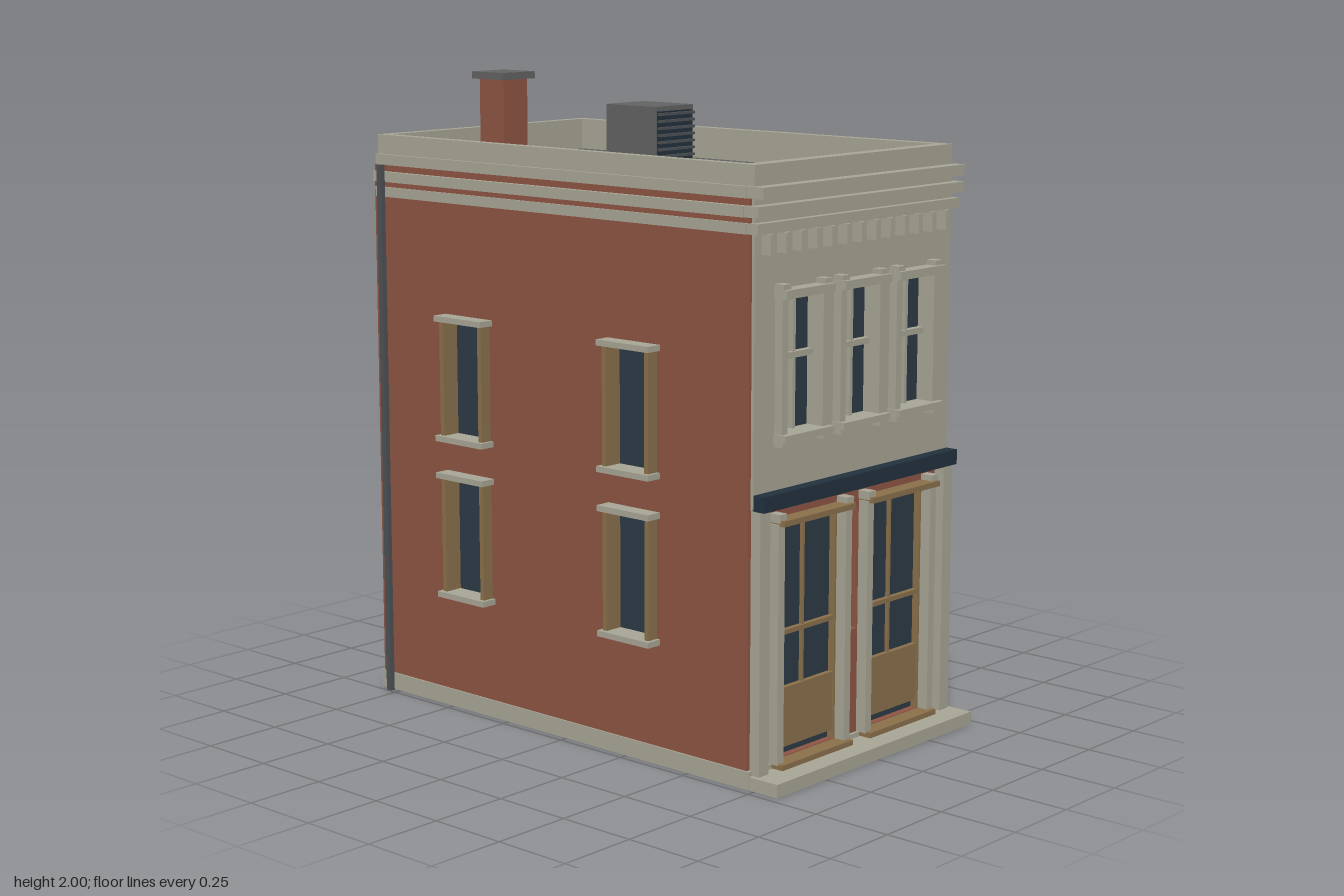
import * as THREE from 'three';

const mat = (name, color) => Object.assign(new THREE.MeshStandardMaterial({ color }), { name });

export function createModel() {
  const brick = mat('brick', 0x8e5544), stone = mat('stone', 0xa8a695), glass = mat('glass', 0x2c3a46);
  const wood = mat('wood', 0x8a704b), navy = mat('navy', 0x22313f), roofGrey = mat('roof grey', 0x636363);
  const metal = mat('dark metal', 0x4e5154);
  const model = new THREE.Group();
  model.name = 'townBuilding';

  const add = (parent, name, geometry, material) => {
    const mesh = new THREE.Mesh(geometry, material);
    mesh.name = name;
    parent.add(mesh);
    return mesh;
  };
  // Box given by its limits on each axis
  const box = (parent, name, material, x0, x1, y0, y1, z0, z1) => {
    const mesh = add(parent, name, new THREE.BoxGeometry(x1 - x0, y1 - y0, z1 - z0), material);
    mesh.position.set((x0 + x1) / 2, (y0 + y1) / 2, (z0 + z1) / 2);
  };
  const group = (name) => {
    const g = new THREE.Group();
    g.name = name;
    model.add(g);
    return g;
  };
  const outline = (Type, [x0, x1, y0, y1]) => new Type([[x0, y0], [x1, y0], [x1, y1], [x0, y1]]
    .map(([x, y]) => new THREE.Vector2(x, y)));
  // Flat slab with rectangular openings, extruded towards +z
  const slab = (rect, holes, depth) => {
    const shape = outline(THREE.Shape, rect);
    shape.holes = holes.map((h) => outline(THREE.Path, h));
    return new THREE.ExtrudeGeometry(shape, { depth, bevelEnabled: false });
  };

  // Stone base and front step
  box(model, 'base', stone, -0.475, 0.475, 0, 0.055, -0.835, 0.73);
  box(model, 'frontStep', stone, -0.472, 0.472, 0, 0.04, 0.7, 0.835);

  // Openings, as x0, x1, y0, y1 on each wall
  const upperCentres = [-0.265, 0, 0.265];
  const upperOpenings = upperCentres.map((x) => [x - 0.08, x + 0.08, 1.03, 1.425]);
  const doorOpenings = [-0.207, 0.207].map((x) => [x - 0.142, x + 0.142, 0.06, 0.77]);
  const middleOpening = [-0.035, 0.035, 0.378, 0.75];
  const rows = [[0.375, 0.755], [0.875, 1.25]];
  const backOpenings = rows.map(([a, b]) => [-0.125, 0.125, a, b]);
  const sideCentres = [0.28, -0.412];
  const sideOpenings = sideCentres.flatMap((z) => rows.map(([a, b]) => [z - 0.082, z + 0.082, a, b]));

  // Brick shell around a solid core, with glass lying in each opening
  box(model, 'brickCore', brick, -0.44, 0.44, 0.03, 1.68, -0.8, 0.69);
  const lowerOpenings = [...doorOpenings, middleOpening];
  add(model, 'frontBrickWall', slab([-0.44, 0.44, 0.03, 0.84], lowerOpenings, 0.03), brick).position.z = 0.69;
  const backWall = add(model, 'backBrickWall', slab([-0.44, 0.44, 0.03, 1.71], backOpenings, 0.03), brick);
  backWall.rotation.y = Math.PI;
  backWall.position.z = -0.8;
  for (const [a, b, c, d] of [...upperOpenings, ...lowerOpenings])
    box(model, 'frontGlass', glass, a, b, c, d, 0.69, 0.698);
  for (const [a, b, c, d] of backOpenings) box(model, 'backGlass', glass, a, b, c, d, -0.808, -0.8);

  // Side walls with framed windows
  for (const s of [-1, 1]) {
    const side = group(s < 0 ? 'rightSideWall' : 'leftSideWall');
    side.rotation.y = s * Math.PI / 2;
    const flip = ([a, b, c, d]) => (s > 0 ? [-b, -a, c, d] : [a, b, c, d]);
    const wallRect = flip([-0.83, 0.72, 0.03, 1.71]);
    add(side, 'sideBrickWall', slab(wallRect, sideOpenings.map(flip), 0.03), brick).position.z = 0.44;
    for (const [a, b, c, d] of sideOpenings.map(flip)) {
      box(side, 'sideGlass', glass, a, b, c, d, 0.44, 0.448);
      for (const [u, v] of [[a - 0.01, a + 0.006], [b - 0.006, b + 0.01]])
        box(side, 'sideWindowJamb', wood, u, v, c, d, 0.446, 0.508);
      for (const y of [c - 0.009, d - 0.007])
        box(side, 'sideWindowLedge', stone, a - 0.021, b + 0.021, y, y + 0.018, 0.446, 0.522);
    }
    // Downpipe
    const px = s * 0.5;
    box(model, 'downpipe', metal, px - 0.008, px + 0.008, 0.005, 1.71, -0.78, -0.76);
  }

  // Stone upper facade
  add(model, 'upperFacade', slab([-0.46, 0.46, 0.82, 1.71], upperOpenings, 0.04), stone).position.z = 0.69;
  for (const x of upperCentres) {
    const win = group('upperWindow');
    win.position.x = x;
    box(win, 'lintel', stone, -0.11, 0.11, 1.42, 1.445, 0.72, 0.777);
    box(win, 'sill', stone, -0.11, 0.11, 1.01, 1.03, 0.72, 0.777);
    box(win, 'mullion', stone, -0.006, 0.006, 1.03, 1.42, 0.697, 0.715);
    box(win, 'transom', stone, -0.08, 0.08, 1.236, 1.254, 0.697, 0.72);
    for (const s of [-1, 1]) {
      const c = s * 0.092;
      box(win, 'jamb', stone, c - 0.013, c + 0.013, 1.03, 1.42, 0.72, 0.758);
      box(win, 'upperBracket', stone, c - 0.016, c + 0.016, 1.415, 1.46, 0.72, 0.765);
      box(win, 'lowerBracket', stone, c - 0.016, c + 0.016, 0.993, 1.025, 0.72, 0.765);
    }
  }

  // Cornice bands: y0, y1, half width, front z
  const cornice = group('cornice');
  for (const [y0, y1, w, z] of [[1.707, 1.74, 0.475, 0.77], [1.655, 1.687, 0.487, 0.762], [1.607, 1.638, 0.477, 0.752]]) {
    box(cornice, 'sideBand', stone, -w, w, y0, y1, -0.82, -0.795);
    box(cornice, 'frontBand', stone, -w + 0.004, w - 0.004, y0, y1, 0.7, z);
    for (const s of [-1, 1])
      box(cornice, 'sideBand', stone, s * w - (s > 0 ? 0.04 : 0), s * w + (s < 0 ? 0.04 : 0), y0, y1, -0.82, 0.71);
  }
  for (let i = 0; i < 13; i++) {
    const x = -0.422 + i * 0.0683;
    box(cornice, 'dentil', stone, x - 0.01, x + 0.01, 1.548, 1.607, 0.72, 0.765);
  }

  // Parapet ring around the sunken flat roof
  const parapet = add(model, 'parapet', slab([-0.462, 0.462, -0.73, 0.822], [[-0.43, 0.43, -0.685, 0.79]], 0.12), stone);
  parapet.rotation.x = -Math.PI / 2;
  parapet.position.y = 1.68;
  box(model, 'roof', roofGrey, -0.435, 0.435, 1.67, 1.7, -0.795, 0.688);

  // Chimney
  box(model, 'chimney', brick, -0.284, -0.18, 1.69, 1.98, -0.542, -0.438);
  box(model, 'chimneyCap', roofGrey, -0.301, -0.163, 1.978, 2, -0.559, -0.421);

  // Roof vent unit with louvres
  const vent = group('roofVent');
  box(vent, 'ventBody', roofGrey, 0.075, 0.252, 1.69, 1.89, -0.34, -0.13);
  box(vent, 'ventPanel', navy, 0.083, 0.244, 1.72, 1.875, -0.13, -0.127);
  for (let i = 0; i < 7; i++)
    box(vent, 'louvre', metal, 0.083, 0.244, 1.73 + i * 0.022, 1.738 + i * 0.022, -0.128, -0.114);

  // Shopfront: fascia, pilasters and two doors
  const shop = group('shopfront');
  box(shop, 'fascia', navy, -0.46, 0.46, 0.82, 0.866, 0.72, 0.77);
  for (const s of [-1, 1]) {
    const p = s * 0.436;
    box(shop, 'pilaster', stone, p - 0.022, p + 0.022, 0.04, 0.82, 0.715, 0.755);
    const door = group('door');
    door.position.x = s * 0.207;
    box(door, 'doorLintel', wood, -0.165, 0.165, 0.765, 0.782, 0.7, 0.772);
    box(door, 'doorSill', wood, -0.165, 0.165, 0.042, 0.058, 0.7, 0.772);
    box(door, 'doorPanel', wood, -0.136, 0.136, 0.085, 0.265, 0.697, 0.715);
    box(door, 'doorRail', wood, -0.136, 0.136, 0.424, 0.438, 0.697, 0.715);
    box(door, 'doorMullion', wood, -0.004, 0.004, 0.265, 0.765, 0.697, 0.71);
    for (const t of [-1, 1]) {
      const c = t * 0.155, e = t * 0.138;
      box(door, 'doorJamb', stone, c - 0.014, c + 0.014, 0.055, 0.77, 0.7, 0.755);
      box(door, 'doorStile', wood, e - 0.004, e + 0.004, 0.06, 0.765, 0.697, 0.72);
      box(door, 'doorBracket', stone, c - 0.016, c + 0.016, 0.775, 0.8, 0.715, 0.76);
    }
  }
  return model;
}
